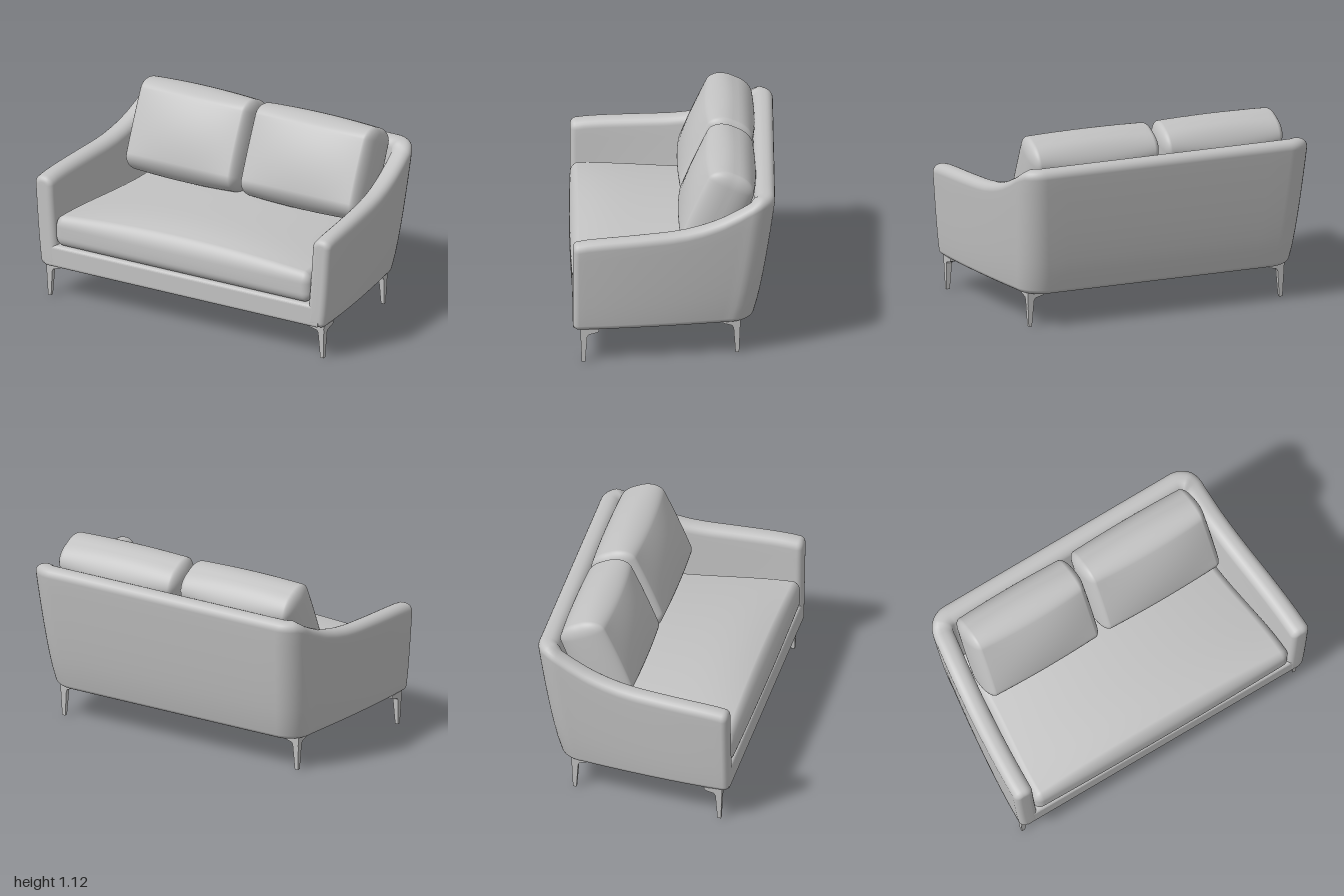
import * as THREE from 'three';
import { mergeVertices } from 'three/addons/utils/BufferGeometryUtils.js';

const lerp = THREE.MathUtils.lerp;
const FLOOR = 0.2, FRONT = 0.58, WALL = 0.12, CAP = 0.036;

// Height of the arm and back rail as it runs from front to back: [z, y]
const RAIL = [[0.575, 0.75], [0.4, 0.765], [0.2, 0.777], [0, 0.79], [-0.1, 0.803], [-0.2, 0.825],
  [-0.3, 0.858], [-0.4, 0.908], [-0.48, 0.957], [-0.53, 0.98], [-0.6, 0.985]];
function railHeight(z) {
  for (let i = 1; i < RAIL.length; i++) {
    const [z0, y0] = RAIL[i - 1], [z1, y1] = RAIL[i];
    if (z >= z1) return lerp(y0, y1, Math.max(0, (z - z0) / (z1 - z0)));
  }
  return 0.985;
}

// Outer plan of the shell at flare v: 0-1 side, 1-2 corner, 2-4 back, then mirrored
function plan(t, v) {
  if (t > 3) {
    const [x, z] = plan(6 - t, v);
    return [-x, z];
  }
  const wf = lerp(0.955, 1.016, v), wb = lerp(0.845, 0.918, v), zb = lerp(-0.45, -0.594, v), rc = 0.15;
  if (t <= 1) return [wf - (wf - wb) * Math.pow(Math.max(t, 0), 1.5), lerp(FRONT, zb + rc, t)];
  if (t <= 2) {
    const a = (t - 1) * Math.PI / 2;
    return [wb - rc + rc * Math.cos(a), zb + rc - rc * Math.sin(a)];
  }
  return [(wb - rc) * (3 - t), zb];
}
const flare = y => Math.pow(Math.max(0, (y - FLOOR) / 0.78), 0.7);

// Plan point moved inward by d
function planInset(t, v, d) {
  const a = plan(Math.max(0, t - 0.02), v), b = plan(Math.min(6, t + 0.02), v), p = plan(t, v);
  const tx = b[0] - a[0], tz = b[1] - a[1], l = Math.hypot(tx, tz);
  return [p[0] + tz / l * d, p[1] - tx / l * d];
}

// Rounded wall section as [depth, height] points, shrunk by e
function wallSection(h, e) {
  const pts = [], lo = FLOOR + e, hi = h - e, d0 = e, d1 = WALL - e;
  const rt = Math.max(0.052 - e, 0), rb = Math.max(0.03 - e, 0);
  const arc = (cx, cy, r, from) => {
    for (let k = 0; k <= 6; k++) {
      const a = from - k / 6 * Math.PI / 2;
      pts.push([cx + r * Math.cos(a), cy + r * Math.sin(a)]);
    }
  };
  const rise = (d, y0, y1) => {
    for (let k = 1; k < 8; k++) pts.push([d, lerp(y0, y1, k / 8)]);
  };
  arc(d0 + rb, lo + rb, rb, Math.PI * 1.5);
  rise(d0, lo + rb, hi - rt);
  arc(d0 + rt, hi - rt, rt, Math.PI);
  arc(d1 - rt, hi - rt, rt, Math.PI / 2);
  rise(d1, hi - rt, lo + rb);
  arc(d1 - rb, lo + rb, rb, 0);
  return pts;
}

// Arms and back in one sweep, with softly rounded arm fronts
function shellGeometry() {
  const cap = [{ t: 0, e: WALL / 2, s: 0 }];
  for (let k = 0; k <= 6; k++) {
    const a = k / 6 * Math.PI / 2;
    cap.push({ t: 0, e: CAP * (1 - Math.sin(a)), s: CAP * (1 - Math.cos(a)) });
  }
  const stations = [...cap];
  for (let k = 2; k <= 24; k++) stations.push({ t: k / 24, e: 0, s: 0 });
  for (let k = 1; k <= 10; k++) stations.push({ t: 1 + k / 10, e: 0, s: 0 });
  for (let k = 1; k < 12; k++) stations.push({ t: 2 + k / 6, e: 0, s: 0 });
  for (let k = 10; k >= 1; k--) stations.push({ t: 5 - k / 10, e: 0, s: 0 });
  for (let k = 24; k >= 2; k--) stations.push({ t: 6 - k / 24, e: 0, s: 0 });
  stations.push(...cap.reverse().map(c => ({ ...c, t: 6 })));

  const pos = [], index = [];
  let n = 0;
  for (const { t, e, s } of stations) {
    const loop = wallSection(railHeight(plan(t, 1)[1]), e);
    n = loop.length;
    for (const [d, y] of loop) {
      const [x, z] = planInset(t, flare(y), d);
      pos.push(x, y, z - s);
    }
  }
  for (let i = 0; i < stations.length - 1; i++) {
    for (let j = 0; j < n; j++) {
      const a = i * n + j, b = i * n + (j + 1) % n;
      index.push(a, a + n, b + n, a, b + n, b);
    }
  }
  let g = new THREE.BufferGeometry();
  g.setAttribute('position', new THREE.Float32BufferAttribute(pos, 3));
  g.setIndex(index);
  g = mergeVertices(g, 1e-5);
  g.computeVertexNormals();
  return g;
}

// Soft block: half sizes, corner radii and swelling are [x, y, z]
function cushionGeometry(half, radii, puff, reshape) {
  const N = 28, C = 6;
  let g = new THREE.BoxGeometry(2, 2, 2, N, N, N);
  g.deleteAttribute('uv');
  g.deleteAttribute('normal');
  g = mergeVertices(g, 1e-4);
  const p = g.attributes.position;
  for (let i = 0; i < p.count; i++) {
    const core = [], off = [];
    [p.getX(i), p.getY(i), p.getZ(i)].forEach((c, k) => {
      const step = Math.round((c + 1) / 2 * N) - N / 2, flat = N / 2 - C, over = Math.max(0, Math.abs(step) - flat) / C;
      core[k] = (half[k] - radii[k]) * THREE.MathUtils.clamp(step / flat, -1, 1);
      off[k] = Math.sign(step) * Math.tan(over * Math.PI / 4);
    });
    const l = Math.hypot(...off);
    const q = core.map((c, k) => c + radii[k] * off[k] / l);
    const u = q.map((c, k) => c / half[k]), f = u.map(c => 1 - c * c);
    const r = q.map((c, k) => c + u[k] * puff[k] * f[(k + 1) % 3] * f[(k + 2) % 3]);
    if (reshape) reshape(r, u);
    p.setXYZ(i, ...r);
  }
  g.computeVertexNormals();
  return g;
}

// One wing of a leg: tapered post with a short bracket, extruded thin
function legWing() {
  const s = new THREE.Shape([[0.018, 0.205], [0.009, 0], [-0.011, 0], [-0.022, 0.155], [-0.03, 0.17],
    [-0.075, 0.182], [-0.09, 0.19], [-0.09, 0.205]].map(a => new THREE.Vector2(...a)).reverse());
  const g = new THREE.ExtrudeGeometry(s, { depth: 0.036, bevelEnabled: false });
  g.translate(0, 0, -0.018);
  const p = g.attributes.position;
  for (let i = 0; i < p.count; i++) p.setZ(i, p.getZ(i) * lerp(0.55, 1, p.getY(i) / 0.2));
  g.computeVertexNormals();
  return g;
}

export function createModel() {
  const group = new THREE.Group();
  const grey = new THREE.MeshStandardMaterial({ color: 0xc2c2c2 });
  grey.name = 'plain grey';
  const add = (name, geometry, parent = group) => {
    const m = new THREE.Mesh(geometry, grey);
    m.name = name;
    parent.add(m);
    return m;
  };

  add('armsAndBack', shellGeometry());

  // Seat base filling the shell
  const outline = [];
  for (let k = 0; k <= 60; k++) outline.push(new THREE.Vector2(...planInset(k / 10, 0, 0.03)));
  const base = new THREE.ExtrudeGeometry(new THREE.Shape(outline), {
    depth: 0.095, bevelEnabled: true, bevelThickness: 0.02, bevelSize: 0.02, bevelOffset: -0.02, bevelSegments: 5,
  });
  base.rotateX(Math.PI / 2);
  add('seatBase', base).position.y = 0.315;

  // Seat cushion, domed across and along, narrower towards the back
  add('seatCushion', cushionGeometry([0.862, 0.092, 0.51], [0.05, 0.06, 0.045], [0, 0, 0.012], (r, u) => {
    const across = 1 - u[0] ** 2;
    r[1] += Math.max(0, u[1]) * across * (0.025 + 0.05 * (1 - u[2] ** 4));
    r[0] *= lerp(0.91, 1, THREE.MathUtils.smoothstep(r[2], -0.3, 0.5));
  })).position.set(0, 0.427, 0.0725);

  // Two leaning back cushions, the left one slightly wider
  for (const [name, x, halfWidth] of [['leftBackCushion', 0.393, 0.402], ['rightBackCushion', -0.406, 0.38]]) {
    const c = add(name, cushionGeometry([halfWidth, 0.272, 0.138], [0.045, 0.08, 0.115], [0.006, 0.014, 0.042]));
    c.position.set(x, 0.838, -0.255);
    c.rotation.x = -0.42;
  }

  // Four legs, each with two bracket wings pointing inward
  const wing = legWing();
  for (const side of [1, -1]) {
    for (const [end, x, z, dir] of [['front', 0.922, 0.52, 1], ['back', 0.787, -0.37, -1]]) {
      const leg = new THREE.Group();
      leg.name = end + (side > 0 ? 'Left' : 'Right') + 'Leg';
      leg.position.set(side * x, 0, z);
      add('legWingAcross', wing, leg).rotation.y = side > 0 ? 0 : Math.PI;
      add('legWingAlong', wing, leg).rotation.y = -dir * Math.PI / 2;
      group.add(leg);
    }
  }
  return group;
}
